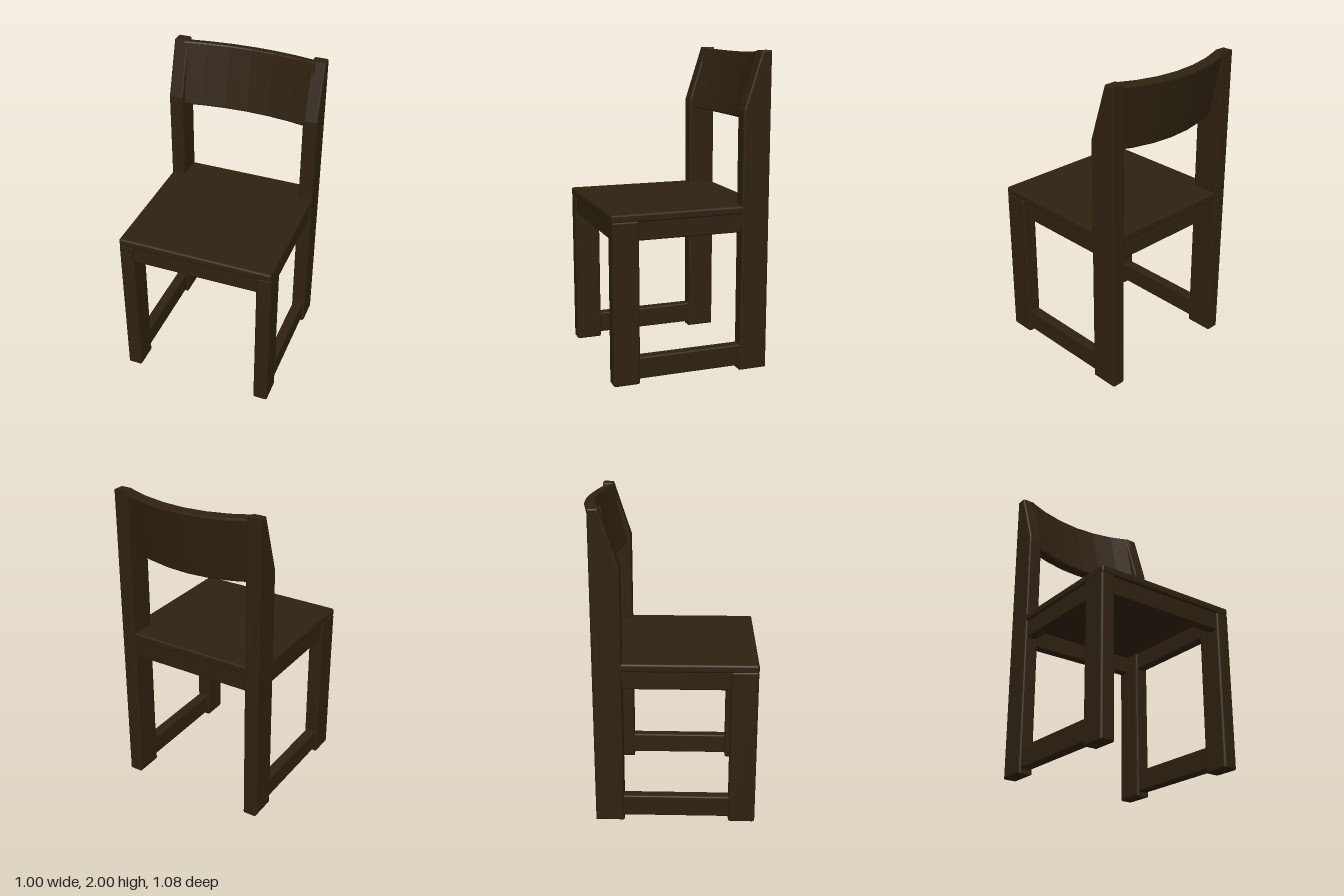
import * as THREE from 'three';
import { RoundedBoxGeometry } from 'three/addons/geometries/RoundedBoxGeometry.js';

const wood = new THREE.MeshStandardMaterial({ color: 0x2e2110 });
wood.name = 'dark wood';

// Rounded bar given by its minimum and maximum corners
function bar(name, [x0, y0, z0], [x1, y1, z1], radius = 0.014) {
  const geometry = new RoundedBoxGeometry(x1 - x0, y1 - y0, z1 - z0, 2, radius);
  geometry.translate((x0 + x1) / 2, (y0 + y1) / 2, (z0 + z1) / 2);
  const mesh = new THREE.Mesh(geometry, wood);
  mesh.name = name;
  return mesh;
}

// Extrusion whose softened edges stay inside the given outline and depth
function softExtrude(points, depth, bevel) {
  const shape = new THREE.Shape(points.map(([x, y]) => new THREE.Vector2(x, y)));
  const geometry = new THREE.ExtrudeGeometry(shape, {
    depth: depth - 2 * bevel, bevelEnabled: true, bevelSize: bevel,
    bevelThickness: bevel, bevelOffset: -bevel, bevelSegments: 2,
  });
  return geometry.translate(0, 0, bevel);
}

export function createModel() {
  const chair = new THREE.Group();
  chair.name = 'chair';

  // Seat board with aprons under its front and back
  chair.add(
    bar('seat', [-0.498, 1.01, -0.46], [0.498, 1.062, 0.54]),
    bar('frontApron', [-0.42, 0.895, 0.46], [0.42, 1.02, 0.525], 0.01),
    bar('backApron', [-0.42, 0.895, -0.455], [0.42, 1.02, -0.39], 0.01),
  );

  // Legs, side aprons and floor stretchers, left and right
  const postProfile = [[-0.47, 0], [-0.29, 0], [-0.29, 1.645], [-0.405, 2], [-0.47, 2]];
  for (const side of [-1, 1]) {
    const label = side > 0 ? 'left' : 'right';
    const sideBar = (name, inner, outer, y0, y1, z0, z1, r) => bar(label + name,
      [Math.min(side * inner, side * outer), y0, z0],
      [Math.max(side * inner, side * outer), y1, z1], r);
    chair.add(
      sideBar('FrontLeg', 0.405, 0.5, 0, 1.02, 0.37, 0.538),
      sideBar('Apron', 0.42, 0.485, 0.895, 1.02, -0.32, 0.4, 0.01),
      sideBar('Stretcher', 0.418, 0.487, 0.03, 0.168, -0.32, 0.4, 0.01),
    );
    // Back post, tapering towards the top along its front edge
    const postGeometry = softExtrude(postProfile, 0.095, 0.012);
    postGeometry.rotateY(-Math.PI / 2);
    postGeometry.translate(side * 0.4535 + 0.0475, 0, 0);
    const post = new THREE.Mesh(postGeometry, wood);
    post.name = label + 'BackPost';
    chair.add(post);
  }

  // Curved backrest, bowed backwards and tilted between the posts
  const front = [], back = [];
  for (let i = -3; i <= 3; i++) {
    const x = i * 0.145;
    const bow = 0.078 * (1 - (i / 3) ** 2);
    front.push([x, bow]);
    back.unshift([x, bow + 0.068]);
  }
  const restGeometry = softExtrude([...front, ...back], 0.415, 0.01);
  restGeometry.rotateX(-Math.PI / 2);
  restGeometry.rotateX(-0.21);
  restGeometry.translate(0, 1.593, -0.308);
  const backrest = new THREE.Mesh(restGeometry, wood);
  backrest.name = 'backrest';
  chair.add(backrest);

  return chair;
}
